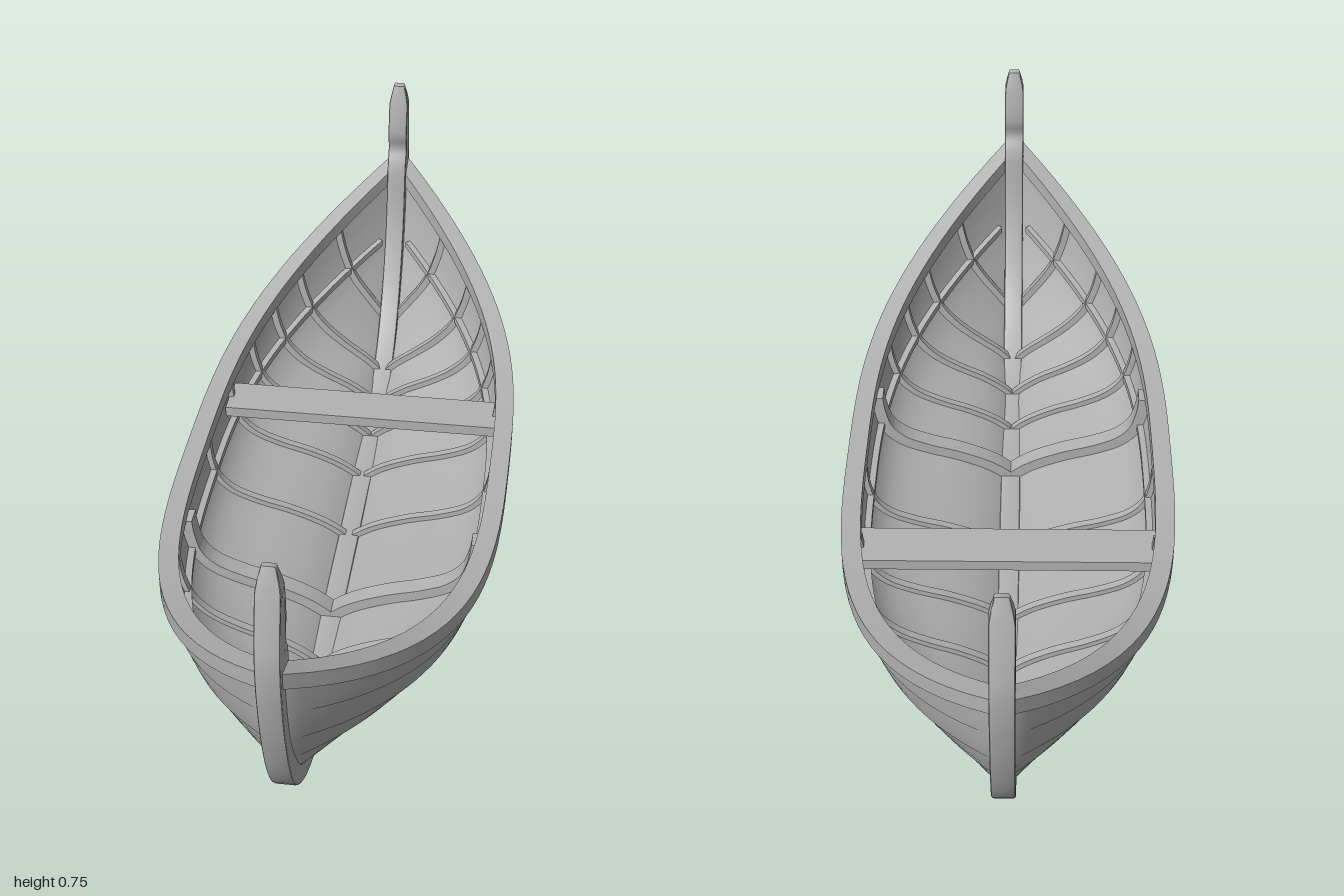
import * as THREE from 'three';
import { toCreasedNormals } from 'three/addons/utils/BufferGeometryUtils.js';

const V = (x, y, z) => new THREE.Vector3(x, y, z);
const lerp = THREE.MathUtils.lerp;

// Hull lines: midship section (x, y) and end line along the stem (z, y), keel to sheer
const midship = new THREE.CatmullRomCurve3([
  [0.012, 0.025], [0.07, 0.065], [0.15, 0.098], [0.225, 0.12],
  [0.285, 0.147], [0.32, 0.185], [0.335, 0.235], [0.34, 0.285],
].map(([x, y]) => V(x, y, 0)));
const endLine = new THREE.CatmullRomCurve3([
  [0.55, 0.03], [0.67, 0.055], [0.76, 0.1], [0.83, 0.16],
  [0.885, 0.24], [0.93, 0.33], [0.955, 0.42], [0.97, 0.515],
].map(([z, y]) => V(0, y, z)));

// Point on the hull skin: t from keel (0) to sheer (1), u from stern (-1) to bow (1)
function skin(t, u, side = 1, inset = 0) {
  const m = midship.getPoint(t), e = endLine.getPoint(t), a = Math.abs(u);
  const x = lerp(m.x, 0.012, Math.pow(a, 2 + t));
  const y = lerp(m.y, e.y, Math.pow(a, 3));
  return V(side * Math.max(0, x - inset), y + inset * 0.7 * (1 - t), u * e.z);
}

// Solid skinned over closed cross-sections, with end caps
function loft(rings, crease = 0.6) {
  const n = rings[0].length, pos = [], idx = [];
  rings.forEach(r => r.forEach(p => pos.push(p.x, p.y, p.z)));
  for (let i = 0; i < rings.length - 1; i++) {
    for (let j = 0; j < n; j++) {
      const a = i * n + j, b = i * n + (j + 1) % n;
      idx.push(a, b, a + n, b, b + n, a + n);
    }
  }
  const last = (rings.length - 1) * n;
  // Caps zip opposite sides of the section together
  for (let j = 0; j < n / 2 - 1; j++) {
    const a = j, b = j + 1, c = n - 2 - j, d = n - 1 - j;
    idx.push(a, d, b, b, d, c, last + a, last + b, last + d, last + b, last + c, last + d);
  }
  // Turn the faces outward
  let volume = 0;
  const at = k => V().fromArray(pos, k * 3);
  for (let i = 0; i < idx.length; i += 3) {
    volume += at(idx[i]).dot(at(idx[i + 1]).cross(at(idx[i + 2])));
  }
  if (volume < 0) idx.reverse();
  const g = new THREE.BufferGeometry();
  g.setAttribute('position', new THREE.Float32BufferAttribute(pos, 3));
  g.setIndex(idx);
  return toCreasedNormals(g, crease);
}

const range = (n, from, to) => Array.from({ length: n + 1 }, (_, i) => lerp(from, to, i / n));

export function createModel() {
  const wood = new THREE.MeshStandardMaterial({ color: 0xb3b3b3 });
  wood.name = 'grey wood';
  const boat = new THREE.Group();
  boat.name = 'rowingBoat';
  const add = (name, geometry) => {
    const mesh = new THREE.Mesh(geometry, wood);
    mesh.name = name;
    boat.add(mesh);
    return mesh;
  };

  // Planked hull: each strake stands slightly proud at its lower edge
  const rows = [];
  for (let k = 0; k < 7; k++) {
    for (let j = 0; j <= 3; j++) rows.push({ t: (k + j / 3) / 7, lap: k ? 1 - j / 3 : 0 });
  }
  const hullRings = range(56, -1, 1).map(u => {
    const fade = 1 - Math.pow(Math.abs(u), 4);
    const outer = side => rows.map(({ t, lap }) =>
      skin(t, u, side).add(V(side * 0.006 * lap * fade, -0.004 * lap * fade, 0)));
    const inner = side => rows.map(({ t }) => skin(t, u, side, 0.014));
    return [...outer(-1).reverse(), ...outer(1), ...inner(1).reverse(), ...inner(-1)];
  });
  add('hull', loft(hullRings, 0.9));

  // Gunwale rails and inner stringers, mirrored
  for (const side of [1, -1]) {
    const sweep = (t, span, inset, out, into, down, up) => range(48, -span, span).map(u => {
      const p = skin(t, u, side, inset);
      const d = skin(t, Math.min(1, u + 0.01), side, inset)
        .sub(skin(t, Math.max(-1, u - 0.01), side, inset));
      const n = V(d.z, 0, -d.x).normalize().multiplyScalar(side);
      return [[out, -down], [out, up], [-into, up], [-into, -down]]
        .map(([o, h]) => p.clone().addScaledVector(n, o).add(V(0, h, 0)));
    });
    const label = side > 0 ? 'left' : 'right';
    add(label + 'Gunwale', loft(sweep(1, 1, 0, 0.016, 0.025, 0.01, 0.025)));
    add(label + 'Stringer', loft(sweep(0.76, 0.95, 0.014, 0.006, 0.012, 0.008, 0.008)));
  }

  // Ribs bent against the inside of the planking
  function rib(name, z, width, height) {
    const half = range(60, 0, 0.98).filter(t => endLine.getPoint(t).z * 0.985 > Math.abs(z));
    const at = side => half.map(t => skin(t, z / endLine.getPoint(t).z, side, 0.014));
    const path = [...at(-1).reverse(), ...at(1)];
    const rings = path.map((p, i) => {
      const d = path[Math.min(path.length - 1, i + 1)].clone().sub(path[Math.max(0, i - 1)]);
      const n = V(-d.y, d.x, 0).normalize();
      return [[-0.004, -1], [height, -1], [height, 1], [-0.004, 1]]
        .map(([h, s]) => V(p.x + n.x * h, p.y + n.y * h, z + s * width / 2));
    });
    add(name, loft(rings));
  }
  for (const z of [-0.805, -0.67, -0.555, -0.425, -0.26, -0.03, 0.415, 0.55, 0.665, 0.8]) {
    rib('rib', z, 0.018, 0.012);
  }
  rib('heavyRib', 0.245, 0.042, 0.024);

  // Keel with both curved stem posts, cut as one silhouette
  const outside = [[0.25, 0], [0.58, 0.012], [0.69, 0.038], [0.78, 0.083], [0.86, 0.15],
    [0.92, 0.24], [0.965, 0.36], [0.99, 0.47], [0.998, 0.55], [0.993, 0.61], [0.975, 0.7], [0.959, 0.755]];
  const inside = [[0.945, 0.752], [0.932, 0.7], [0.924, 0.63], [0.934, 0.585], [0.915, 0.54],
    [0.9, 0.42], [0.865, 0.31], [0.8, 0.2], [0.7, 0.115], [0.55, 0.066], [0.3, 0.056]];
  const smooth = pts => new THREE.SplineCurve(pts.map(p => new THREE.Vector2(...p))).getPoints(36);
  const halfLine = [...smooth(outside), ...smooth(inside)];
  const mirrored = halfLine.map(p => new THREE.Vector2(-p.x, p.y)).reverse();
  const stem = new THREE.ExtrudeGeometry(new THREE.Shape([...halfLine, ...mirrored]), {
    depth: 0.036, bevelThickness: 0.005, bevelSize: 0.004, bevelOffset: -0.004, bevelSegments: 2,
  });
  stem.translate(0, 0, -0.018).rotateY(-Math.PI / 2);
  // Narrow the post heads
  const sp = stem.attributes.position;
  for (let i = 0; i < sp.count; i++) {
    const k = THREE.MathUtils.smoothstep(sp.getY(i), 0.7, 0.77);
    sp.setX(i, sp.getX(i) * (1 - 0.5 * k));
  }
  add('keelAndStems', toCreasedNormals(stem, 0.7));

  // Rowing seat
  add('seat', new THREE.BoxGeometry(0.63, 0.024, 0.105)).position.set(0, 0.245, -0.257);

  return boat;
}
